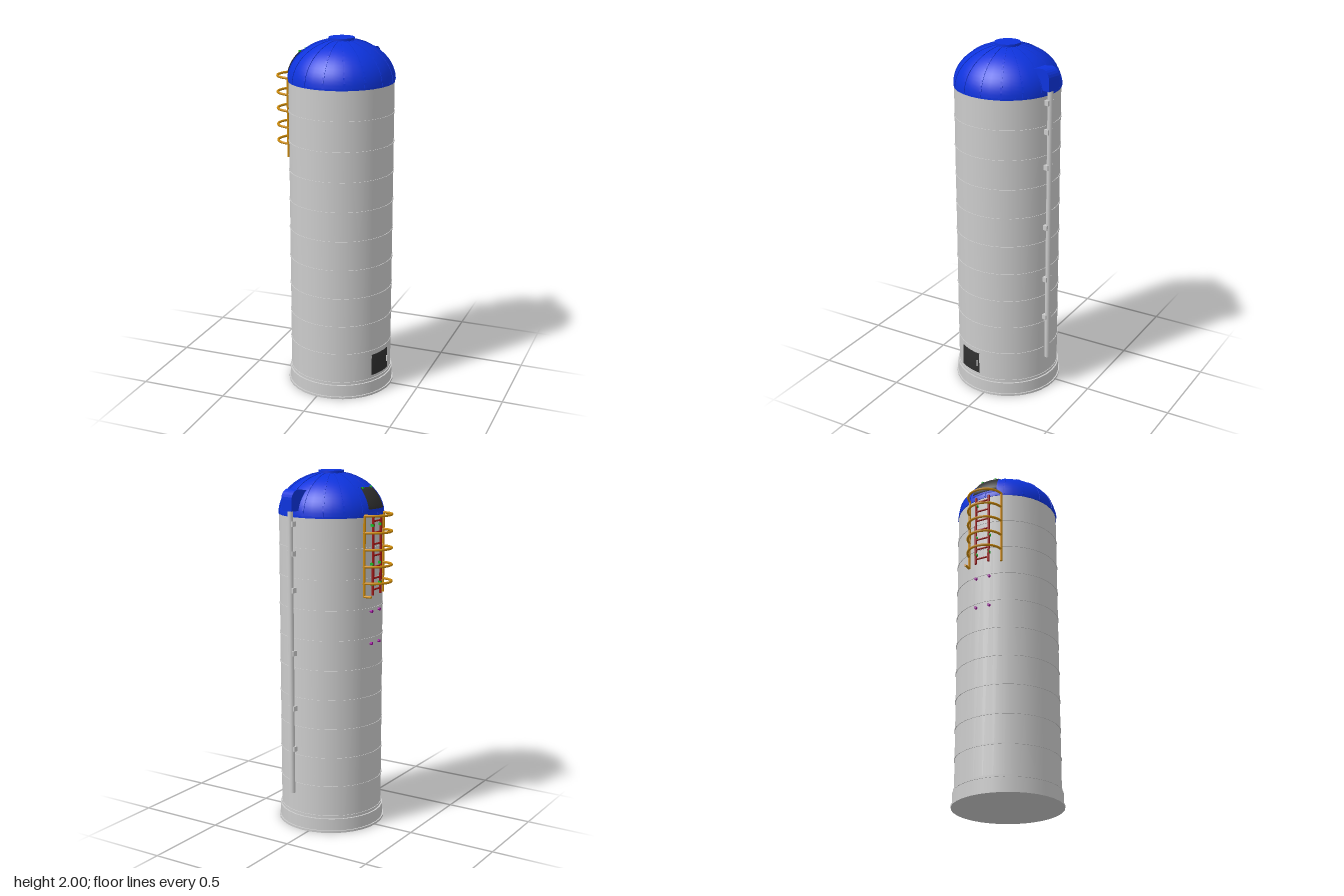
import * as THREE from 'three';

const RAD = Math.PI / 180;
const R = 0.288, SIDES = 32, EAVE = 1.77, DOME_R = 0.291, DOME_H = 0.222;
const mat = (color) => new THREE.MeshStandardMaterial({ color, side: THREE.DoubleSide });
const grey = mat(0xcccccc), blue = mat(0x0d33dd), dark = mat(0x303030);
const yellow = mat(0xcc8a0a), red = mat(0xa01515), green = mat(0x11bb22), purple = mat(0x990099);

function add(parent, name, geometry, material, x = 0, y = 0, z = 0) {
  const mesh = new THREE.Mesh(geometry, material);
  mesh.name = name;
  mesh.position.set(x, y, z);
  parent.add(mesh);
  return mesh;
}

// group whose local +z points outward from the silo axis at the given angle
function facing(parent, name, degrees) {
  const group = new THREE.Group();
  group.name = name;
  group.rotation.y = degrees * RAD;
  parent.add(group);
  return group;
}

// points on the dome curve between two elevations, pushed out by an offset
function domeCurve(from, to, offset, steps = 10) {
  return Array.from({ length: steps + 1 }, (_, i) => {
    const t = (from + (to - from) * i / steps) * RAD;
    return new THREE.Vector2((DOME_R + offset) * Math.cos(t), EAVE + (DOME_H + offset) * Math.sin(t));
  });
}

// (radius, height) outline given a sideways width
function radialSlab(points, width) {
  const geometry = new THREE.ExtrudeGeometry(new THREE.Shape(points), { depth: width, bevelEnabled: false });
  return geometry.translate(0, 0, -width / 2).rotateY(-Math.PI / 2);
}

// (radius, height) outline swept round the axis between two angles
const sweptPanel = (points, from, to) =>
  new THREE.LatheGeometry(points, 8, from * RAD, (to - from) * RAD);

const domePanel = (t0, t1, a0, a1, thickness) => sweptPanel(
  [...domeCurve(t0, t0, -0.004, 1).slice(0, 1), ...domeCurve(t0, t1, thickness, 6), ...domeCurve(t1, t1, -0.004, 1).slice(0, 1)],
  a0, a1);

const drum = (r, h) => new THREE.CylinderGeometry(r, r, h, SIDES);
const rod = (r, h) => new THREE.CylinderGeometry(r, r, h, 12);

export function createModel() {
  const root = new THREE.Group();
  root.name = 'silo';
  const silo = new THREE.Group();
  silo.name = 'siloBody';
  silo.position.set(0.035, 0, 0.012);
  root.add(silo);

  // foundation and wall
  add(silo, 'foundationLip', drum(0.304, 0.012), grey, 0, 0.006);
  add(silo, 'foundation', drum(0.297, 0.08), grey, 0, 0.04);
  add(silo, 'bottomRing', drum(0.292, 0.012), grey, 0, 0.092);
  add(silo, 'wall', drum(R, EAVE), grey, 0, EAVE / 2);
  for (let i = 1; i <= 9; i++) add(silo, 'wallSeam', drum(0.2915, 0.008), grey, 0, 0.1 + i * 0.1665);

  // dome roof, cap and raised ribs
  add(silo, 'dome', new THREE.LatheGeometry(domeCurve(0, 76, 0, 14), SIDES), blue);
  add(silo, 'eave', drum(DOME_R, 0.01), blue, 0, EAVE);
  add(silo, 'domeCap', drum(0.07, 0.016), blue, 0, 1.992);
  const ribGeometry = radialSlab([...domeCurve(1, 76, 0.003), ...domeCurve(1, 76, -0.006).reverse()], 0.01);
  for (let i = 0; i < 16; i++) add(facing(silo, 'rib', i * 22.5 + 1), 'roofRib', ribGeometry, blue);

  // roof hatch with frame and hinges
  add(silo, 'roofHatchFrame', domePanel(6, 42, 253.5, 286.5, 0.004), blue);
  add(silo, 'roofHatch', domePanel(9, 40, 255, 285, 0.008), dark);
  for (const a of [259, 280]) {
    add(facing(silo, 'hinge', a), 'roofHatchHinge', new THREE.BoxGeometry(0.01, 0.01, 0.012), green, 0, 1.916, 0.231);
  }

  // lower access door with handle
  const doorOutline = [[0.28, 0.117], [0.292, 0.117], [0.292, 0.24], [0.28, 0.24]].map(p => new THREE.Vector2(...p));
  add(silo, 'accessDoor', sweptPanel(doorOutline, 57, 85.5), dark);
  add(facing(silo, 'handle', 83), 'doorHandle', new THREE.BoxGeometry(0.006, 0.035, 0.01), grey, 0, 0.178, 0.294);

  // filling pipe with curved hood and brackets
  const filler = facing(silo, 'fillingPipe', 166.5);
  const hood = [new THREE.Vector2(0.215, 1.8), new THREE.Vector2(0.332, 1.8)];
  for (let i = 0; i <= 6; i++) {
    const t = i * 15 * RAD;
    hood.push(new THREE.Vector2(0.282 + 0.05 * Math.cos(t), 1.86 + 0.055 * Math.sin(t)));
  }
  hood.push(new THREE.Vector2(0.215, 1.905));
  add(filler, 'pipeHood', radialSlab(hood, 0.082), blue);
  add(filler, 'pipe', rod(0.015, 1.6), grey, 0, 1.01, 0.306);
  for (const y of [1.73, 1.57, 1.37, 1.02, 0.705, 0.47]) {
    add(filler, 'pipeBracket', new THREE.BoxGeometry(0.046, 0.028, 0.034), grey, 0, y, 0.295);
  }

  // ladder: rails, rungs, wall mounts and spare bolts
  const ladder = facing(silo, 'ladder', 270);
  const mid = -0.007;
  for (const s of [-1, 1]) {
    const x = mid + s * 0.041;
    add(ladder, 'ladderRail', rod(0.007, 0.43), red, x, 1.555, 0.297);
    for (const y of [1.72, 1.51, 1.4]) {
      add(ladder, 'ladderMount', new THREE.BoxGeometry(0.014, 0.014, 0.03), green, x, y, 0.287);
    }
    for (const y of [1.25, 1.07]) {
      add(ladder, 'wallBolt', rod(0.008, 0.022).rotateX(Math.PI / 2), purple, x, y, 0.286);
    }
  }
  for (let i = 0; i < 7; i++) {
    add(ladder, 'ladderRung', rod(0.005, 0.082).rotateZ(Math.PI / 2), red, mid, 1.37 + i * 0.062, 0.297);
  }

  // safety cage: half hoops, side posts and foot
  const hoopGeometry = new THREE.TorusGeometry(0.102, 0.007, 8, 24, Math.PI).rotateX(Math.PI / 2);
  for (let i = 0; i < 5; i++) add(ladder, 'cageHoop', hoopGeometry, yellow, 0, 1.41 + i * 0.0912, 0.268);
  for (const s of [-1, 1]) add(ladder, 'cagePost', rod(0.007, 0.44), yellow, s * 0.102, 1.555, 0.274);
  add(ladder, 'cageFoot', rod(0.007, 0.045).rotateX(Math.PI / 2), yellow, -0.102, 1.338, 0.296);
  return root;
}
